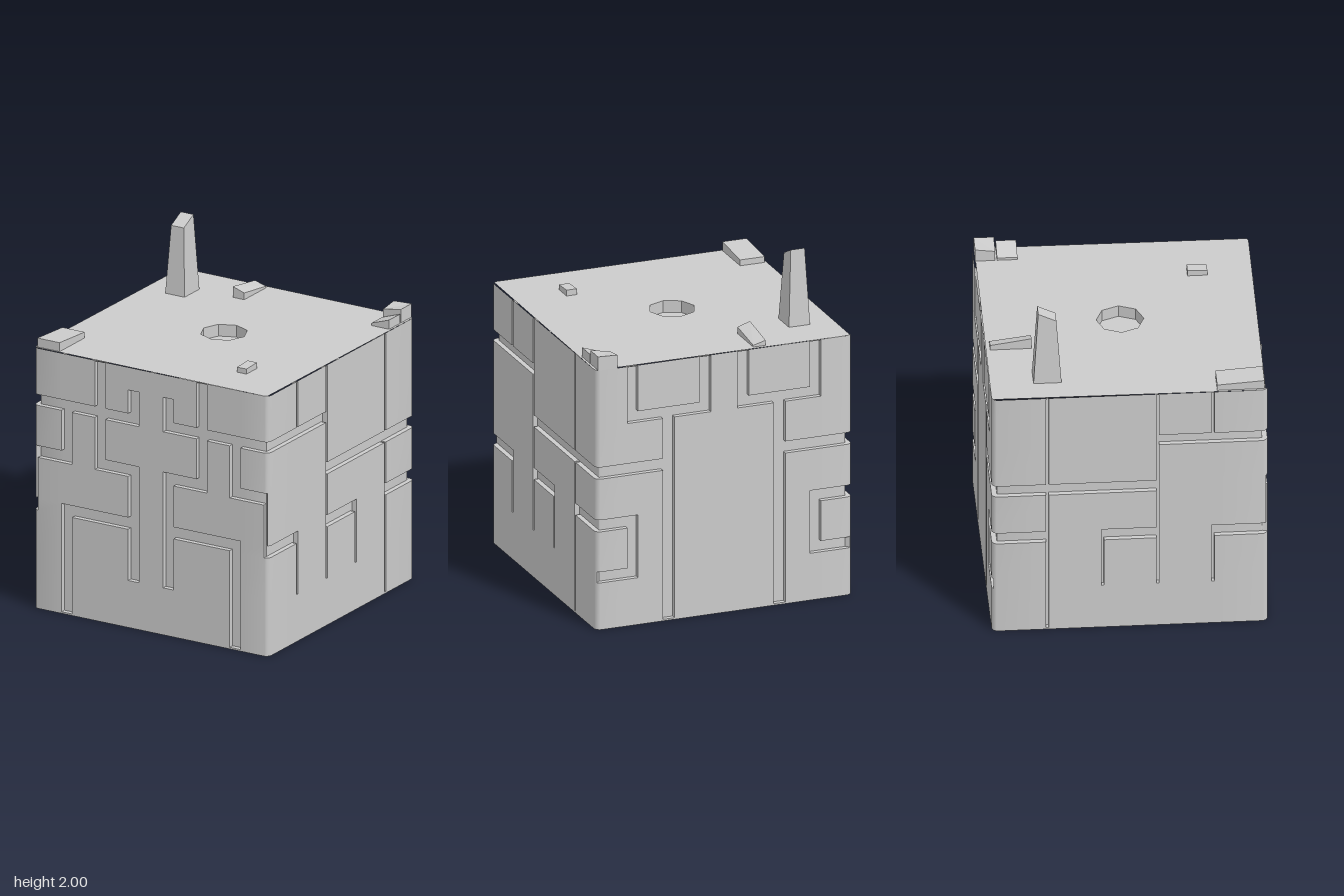
import * as THREE from 'three';
import { toCreasedNormals } from 'three/addons/utils/BufferGeometryUtils.js';

const H = 0.775, R = 0.035, TOP = 1.55, DEPTH = 0.03;
const material = new THREE.MeshStandardMaterial({ color: 0xcccccc });

// Grooves as [u0, u1, y0, y1]; u runs to the right across a wall seen from outside.
const mirror = (rects) => rects.concat(rects.map(([a, b, c, d]) => [-b, -a, c, d]));
const front = mirror([
  [0.08, H, 1.21, 1.275], [0.08, 0.15, 1.21, 1.415], [0.3, 0.37, 0.9, 1.545],
  [0.52, 0.59, 0.9, 1.275], [0.52, H, 0.9, 0.97], [0.08, 0.37, 0.9, 0.97],
  [0.08, 0.15, 0.28, 0.97], [0.08, 0.59, 0.585, 0.655], [0.52, 0.59, 0.01, 0.655],
  [0.748, H, 0.585, 0.97],
]);
const back = mirror([
  [0.52, 0.585, 1.21, 1.545], [0.08, 0.15, 1.21, 1.545], [0.08, 0.585, 1.21, 1.275],
  [0.3, 0.37, 0.01, 1.275], [0.3, H, 0.9, 0.97],
  [0.52, H, 0.585, 0.655], [0.52, 0.585, 0.28, 0.655], [0.52, H, 0.28, 0.345],
]);
// Side walls, with u equal to z
const left = [
  [0.15, H, 1.21, 1.275], [0.15, 0.165, 0.28, 1.545], [0.46, 0.475, 1.21, 1.545],
  [-H, 0.165, 0.9, 0.97], [-0.47, -0.455, 0.01, 1.545], [0.46, H, 0.585, 0.655],
  [0.46, 0.475, 0.28, 0.655], [-0.16, 0.165, 0.585, 0.655], [-0.16, -0.145, 0.28, 0.655],
  [-H, -0.455, 0.585, 0.655],
];
const right = left.map(([a, b, c, d]) => [-b, -a, c, d]);
const walls = [front, right, back, left];

const unique = (list) => [...new Set(list.map((v) => +v.toFixed(4)))].sort((a, b) => a - b);

// Point on wall k, sunk by depth; the ends of each wall bend round the corner
function wallPoint(k, u, y, depth) {
  const c = THREE.MathUtils.clamp(u, -H + R, H - R);
  const a = ((u - c) / R) * (Math.PI / 4);
  const p = new THREE.Vector3(c + (R - depth) * Math.sin(a), y, H - R + (R - depth) * Math.cos(a));
  return p.applyAxisAngle(new THREE.Vector3(0, 1, 0), (k * Math.PI) / 2);
}

// All four walls as one grid of cells, each flush or sunken, with steps between them
function wallGeometry() {
  const pos = [];
  const quad = (a, b, c, d) => [a, b, c, a, c, d].forEach((p) => pos.push(p.x, p.y, p.z));
  const ys = unique([0, TOP, ...walls.flat().flatMap((r) => [r[2], r[3]])]);
  const columns = [];
  walls.forEach((rects, k) => {
    const arcs = [0, 1 / 3, 2 / 3, 1].flatMap((t) => [H - R * t, -H + R * t]);
    const us = unique([...arcs, ...rects.flatMap((r) => [r[0], r[1]])]);
    for (let i = 0; i < us.length - 1; i++) {
      const m = (us[i] + us[i + 1]) / 2;
      const depths = ys.slice(1).map((y, j) => {
        const n = (y + ys[j]) / 2;
        return rects.some(([a, b, c, d]) => m > a && m < b && n > c && n < d) ? DEPTH : 0;
      });
      columns.push({ k, u0: us[i], u1: us[i + 1], depths });
    }
  });
  columns.forEach(({ k, u0, u1, depths }, i) => {
    const next = columns[(i + 1) % columns.length].depths;
    depths.forEach((d, j) => {
      const y0 = ys[j], y1 = ys[j + 1];
      const P = (u, y, e) => wallPoint(k, u, y, e);
      quad(P(u0, y0, d), P(u1, y0, d), P(u1, y1, d), P(u0, y1, d));
      const e = next[j];
      if (e !== d) quad(P(u1, y0, d), P(u1, y0, e), P(u1, y1, e), P(u1, y1, d));
      const f = depths[j + 1] ?? d;
      if (f !== d) quad(P(u0, y1, d), P(u1, y1, d), P(u1, y1, f), P(u0, y1, f));
    });
  });
  const g = new THREE.BufferGeometry();
  g.setAttribute('position', new THREE.Float32BufferAttribute(pos, 3));
  return toCreasedNormals(g, 0.6);
}

// Rounded square outline shared by the lid and the base
function outline() {
  const pts = [];
  for (let k = 0; k < 4; k++) {
    for (const t of [-1, -2 / 3, -1 / 3, 0]) pts.push(wallPoint(k, -H - R * t - R, 0, 0));
    for (const t of [0, 1 / 3, 2 / 3]) pts.push(wallPoint(k, H - R + R * t, 0, 0));
  }
  // Sort by angle so the outline is a clean loop
  pts.sort((a, b) => Math.atan2(a.z, a.x) - Math.atan2(b.z, b.x));
  const clean = pts.filter((p, i) => p.distanceTo(pts[(i + 1) % pts.length]) > 1e-4);
  return new THREE.Shape(clean.map((p) => new THREE.Vector2(p.x, -p.z)));
}

// Block standing on the lid; heights at back-left, back-right, front-left, front-right in plan
function chip(x0, x1, z0, z1, [h00, h10, h01, h11], inset = [0, 0]) {
  const g = new THREE.BoxGeometry(1, 1, 1).toNonIndexed();
  const p = g.attributes.position;
  for (let i = 0; i < p.count; i++) {
    const ex = p.getX(i) > 0, ez = p.getZ(i) > 0, up = p.getY(i) > 0;
    const h = ez ? (ex ? h11 : h01) : ex ? h10 : h00;
    const ix = up ? inset[0] : 0, iz = up ? inset[1] : 0;
    p.setXYZ(i, ex ? x1 - ix : x0 + ix, TOP + (up ? h : -0.005), ez ? z1 - iz : z0 + iz);
  }
  g.computeVertexNormals();
  return g;
}

export function createModel() {
  const group = new THREE.Group();
  const add = (name, geometry, mat = material) => {
    const mesh = new THREE.Mesh(geometry, mat);
    mesh.name = name;
    group.add(mesh);
    return mesh;
  };

  add('groovedWalls', wallGeometry());
  add('base', new THREE.ShapeGeometry(outline()).rotateX(Math.PI / 2));

  // Lid with an eight-sided socket
  const lidShape = outline();
  const corners = [];
  for (let i = 0; i < 8; i++) {
    const a = (i * Math.PI) / 4;
    corners.push(new THREE.Vector2(0.134 * Math.cos(a), 0.134 * Math.sin(a)));
  }
  lidShape.holes.push(new THREE.Path(corners));
  add('lid', new THREE.ShapeGeometry(lidShape).rotateX(-Math.PI / 2)).position.y = TOP;
  const inside = material.clone();
  inside.side = THREE.DoubleSide;
  inside.flatShading = true;
  add('socketWall', new THREE.CylinderGeometry(0.134, 0.134, 0.07, 8, 1, true), inside).position.y = TOP - 0.035;
  add('socketFloor', new THREE.CircleGeometry(0.134, 8).rotateX(-Math.PI / 2)).position.y = TOP - 0.07;

  // Spike and broken chips on the lid
  add('spike', chip(-0.62, -0.492, -0.53, -0.372, [0.45, 0.45, 0.4, 0.4], [0.022, 0.028]));
  add('frontChip', chip(-0.76, -0.613, 0.492, 0.758, [0.035, 0.035, 0.053, 0.053]));
  add('smallChip', chip(0.41, 0.472, 0.408, 0.52, [0.035, 0.035, 0.03, 0.03]));
  add('backChip', chip(-0.262, -0.187, -0.748, -0.515, [0.03, 0.01, 0.065, 0.04]));
  add('cornerChipTall', chip(0.643, 0.76, -0.768, -0.655, [0.075, 0.08, 0.06, 0.08]));
  add('cornerChipLow', chip(0.643, 0.76, -0.645, -0.53, [0.015, 0.055, 0.015, 0.055]));
  return group;
}
